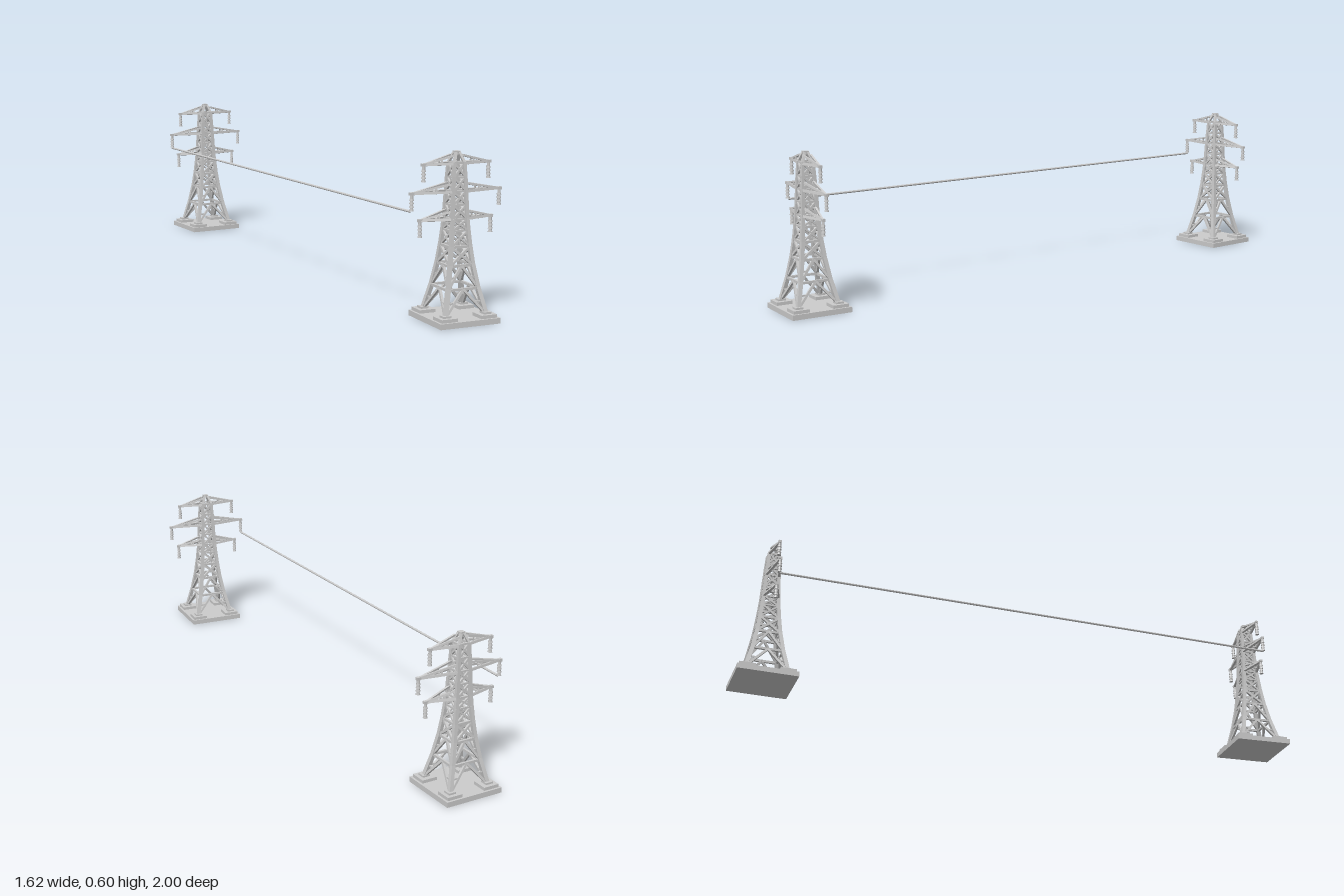
import * as THREE from 'three';
import { mergeGeometries } from 'three/addons/utils/BufferGeometryUtils.js';

const material = new THREE.MeshStandardMaterial({ color: 0xcccccc, flatShading: true });
const UP = new THREE.Vector3(0, 1, 0);
const V = (x, y, z) => new THREE.Vector3(x, y, z);

// Square bar between two points
function bar(a, b, t) {
  const d = b.clone().sub(a);
  const g = new THREE.BoxGeometry(t, d.length() + t * 0.4, t);
  g.applyQuaternion(new THREE.Quaternion().setFromUnitVectors(UP, d.normalize()));
  const m = a.clone().add(b).multiplyScalar(0.5);
  return g.translate(m.x, m.y, m.z);
}

function box(w, h, d, x, y, z) {
  return new THREE.BoxGeometry(w, h, d).translate(x, y, z);
}

function part(name, geometries) {
  const mesh = new THREE.Mesh(mergeGeometries(geometries), material);
  mesh.name = name;
  return mesh;
}

// Lattice levels: [height, half width]
const LEVELS = [
  [0.03, 0.08], [0.12, 0.059], [0.2, 0.045], [0.265, 0.037], [0.32, 0.032],
  [0.36, 0.029], [0.41, 0.027], [0.457, 0.025], [0.505, 0.023], [0.555, 0.02],
];
const SIGNS = [[1, 1], [1, -1], [-1, -1], [-1, 1]];
const corner = ([y, w], i) => V(SIGNS[i % 4][0] * w, y, SIGNS[i % 4][1] * w);

function halfWidth(y) {
  for (let i = 1; i < LEVELS.length; i++) {
    const [y0, w0] = LEVELS[i - 1], [y1, w1] = LEVELS[i];
    if (y <= y1) return w0 + (w1 - w0) * (y - y0) / (y1 - y0);
  }
  return 0.018;
}

// Crossarms: lower chord height, upper chord height at the body, tip distance
const ARMS = [
  { name: 'lowerArm', y: 0.36, top: 0.388, reach: 0.14 },
  { name: 'middleArm', y: 0.455, top: 0.483, reach: 0.173 },
  { name: 'upperArm', y: 0.552, top: 0.58, reach: 0.128 },
];

function makeArm({ name, y, top, reach }) {
  const arm = new THREE.Group();
  arm.name = name;
  const beams = [], insulators = [];
  for (const s of [-1, 1]) {
    const tip = V(s * reach, y, 0);
    const w = halfWidth(y), wt = halfWidth(top);
    for (const k of [-1, 1]) {
      const low = V(s * w, y, k * w), high = V(s * wt, top, k * wt * 0.8);
      beams.push(bar(low, tip, 0.009), bar(high, tip, 0.007));
      // Upright between the chords
      beams.push(bar(low.clone().lerp(tip, 0.4), high.clone().lerp(tip, 0.4), 0.005));
    }
    // Cross ties between the two lower chords
    for (const t of [0, 0.4]) {
      beams.push(bar(V(s * w, y, w).lerp(tip, t), V(s * w, y, -w).lerp(tip, t), 0.006));
    }
    beams.push(box(0.016, 0.01, 0.012, s * reach, y, 0));
    // Hanging insulator with a cap at each end
    insulators.push(new THREE.CylinderGeometry(0.006, 0.006, 0.055, 8).translate(s * reach, y - 0.03, 0));
    for (const dy of [0.02, 0.032, 0.044, 0.056]) {
      insulators.push(new THREE.CylinderGeometry(0.0075, 0.0085, 0.006, 8).translate(s * reach, y - dy, 0));
    }
  }
  arm.add(part('armBeams', beams), part('insulators', insulators));
  return arm;
}

function makeTower() {
  const tower = new THREE.Group();
  tower.name = 'tower';
  tower.add(part('basePad', [box(0.235, 0.02, 0.235, 0, 0.01, 0)]));

  // Stepped footings under the legs
  tower.add(part('footings', SIGNS.flatMap(([x, z]) => [
    box(0.062, 0.013, 0.062, x * 0.078, 0.0255, z * 0.078),
    box(0.03, 0.008, 0.03, x * 0.08, 0.035, z * 0.08),
  ])));

  const legs = [], braces = [];
  for (let l = 0; l + 1 < LEVELS.length; l++) {
    const lo = LEVELS[l], hi = LEVELS[l + 1];
    const t = l < 3 ? 0.009 : 0.007;
    for (let i = 0; i < 4; i++) {
      const a = corner(lo, i), b = corner(lo, i + 1);
      const c = corner(hi, i), d = corner(hi, i + 1);
      legs.push(bar(a, c, 0.015 - l * 0.0005));
      braces.push(bar(c, d, t));
      if (l < 2) {
        // Inverted V in the wide lower panels
        const mid = c.clone().lerp(d, 0.5);
        braces.push(bar(a, mid, t), bar(b, mid, t));
        braces.push(bar(a.clone().lerp(c, 0.5), a.clone().lerp(mid, 0.5), 0.006));
        braces.push(bar(b.clone().lerp(d, 0.5), b.clone().lerp(mid, 0.5), 0.006));
      } else {
        braces.push(bar(a, d, t), bar(b, c, t));
      }
    }
  }
  tower.add(part('legs', legs), part('braces', braces));

  // Tapered peak
  const peak = [box(0.02, 0.012, 0.02, 0, 0.589, 0)];
  for (let i = 0; i < 4; i++) {
    peak.push(bar(corner(LEVELS.at(-1), i), corner([0.588, 0.007], i), 0.009));
  }
  tower.add(part('peak', peak));

  for (const arm of ARMS) tower.add(makeArm(arm));
  return tower;
}

export function createModel() {
  const model = new THREE.Group();
  model.name = 'powerLine';
  const ends = [];
  for (const [x, z, degrees] of [[0.645, 0.832, 33], [-0.645, -0.836, 39]]) {
    const tower = makeTower();
    const angle = THREE.MathUtils.degToRad(degrees);
    tower.position.set(x, 0, z);
    tower.rotation.y = angle;
    model.add(tower);
    ends.push(V(-0.173, 0.393, 0).applyAxisAngle(UP, angle).add(tower.position));
  }

  // Wire strung between the middle arms
  const path = new THREE.LineCurve3(ends[0], ends[1]);
  const wire = new THREE.Mesh(new THREE.TubeGeometry(path, 1, 0.0045, 8), material);
  wire.name = 'wire';
  model.add(wire);
  return model;
}
